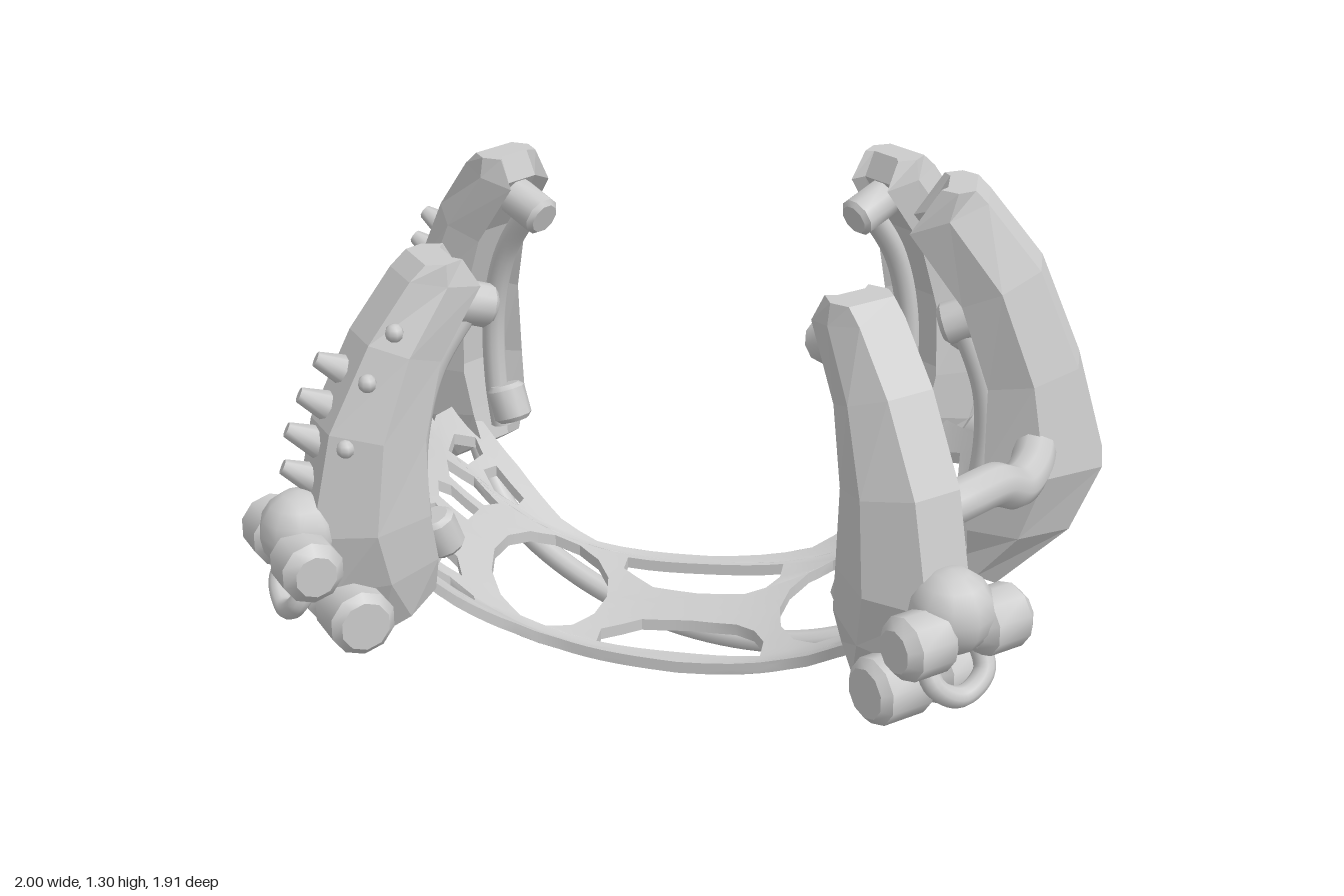
import * as THREE from 'three';
import { toCreasedNormals } from 'three/addons/utils/BufferGeometryUtils.js';

const flat = new THREE.MeshStandardMaterial({ color: 0xcccccc, flatShading: true, side: THREE.DoubleSide });
const smooth = new THREE.MeshStandardMaterial({ color: 0xcccccc, side: THREE.DoubleSide });
const V = (x, y, z = 0) => new THREE.Vector3(x, y, z);

function add(parent, name, geometry, material = smooth) {
  const mesh = new THREE.Mesh(geometry, material);
  mesh.name = name;
  parent.add(mesh);
  return mesh;
}

function tube(parent, name, points, radius) {
  const curve = new THREE.CatmullRomCurve3(points);
  return add(parent, name, new THREE.TubeGeometry(curve, points.length * 6, radius, 10));
}

// Chamfered drum along y
function drum(radius, length, bevel) {
  const h = length / 2;
  const profile = [[0, -h], [radius - bevel, -h], [radius, bevel - h], [radius, h - bevel], [radius - bevel, h], [0, h]];
  const g = new THREE.LatheGeometry(profile.map(p => new THREE.Vector2(...p)), 10);
  return toCreasedNormals(g, 0.7);
}

// Claw sections, top to bottom: outer [s, y], inner [s, y], half width
const smallClaw = [
  [0.12, 1.20, 0.03, 1.20, 0.08], [0.16, 1.165, -0.01, 1.13, 0.088], [0.265, 1.03, 0.10, 0.97, 0.11],
  [0.37, 0.83, 0.15, 0.79, 0.13], [0.425, 0.58, 0.15, 0.60, 0.14], [0.38, 0.43, 0.13, 0.48, 0.125],
  [0.27, 0.30, 0.13, 0.39, 0.09],
];
const bigClaw = [
  [0.14, 1.30, 0.06, 1.30, 0.09], [0.17, 1.27, -0.01, 1.19, 0.098], [0.30, 1.11, 0.12, 1.02, 0.12],
  [0.40, 0.87, 0.19, 0.82, 0.14], [0.47, 0.62, 0.19, 0.62, 0.16], [0.40, 0.45, 0.15, 0.45, 0.14],
  [0.23, 0.29, 0.13, 0.36, 0.10],
];

// Faceted shell with a narrow back, a side ridge and a grooved inner face
function clawGeometry(sections) {
  const pos = [], index = [], n = 8;
  for (const [os, oy, is, iy, b] of sections) {
    const at = (t, w) => [os + (is - os) * t, oy + (iy - oy) * t, w];
    const half = [[0, 0.062], [0.48, b], [1, b * 0.75], [0.82, b * 0.55]];
    for (const [t, w] of half) pos.push(...at(t, w));
    for (const [t, w] of [...half].reverse()) pos.push(...at(t, -w));
  }
  const last = (sections.length - 1) * n;
  for (let k = 0; k < last; k += n) {
    for (let j = 0; j < n; j++) {
      const a = k + j, b = k + (j + 1) % n;
      index.push(a, b, b + n, a, b + n, a + n);
    }
  }
  // End caps
  for (const start of [0, last]) {
    const [os, oy, is, iy] = sections[start / n];
    const c = pos.length / 3;
    pos.push((os + is) / 2, (oy + iy) / 2, 0);
    for (let j = 0; j < n; j++) {
      const a = start + j, b = start + (j + 1) % n;
      if (start === 0) index.push(c, b, a);
      else index.push(c, a, b);
    }
  }
  const g = new THREE.BufferGeometry();
  g.setAttribute('position', new THREE.Float32BufferAttribute(pos, 3));
  g.setIndex(index);
  g.computeVertexNormals();
  return g;
}

// Claw standing at (x, z), leaning outward along (dx, dz); local x is outward
function claw(name, x, z, dx, dz, sections, firstRib) {
  const g = new THREE.Group();
  g.name = name;
  g.position.set(x, 0, z);
  g.rotation.y = Math.atan2(-dz, dx);
  add(g, 'clawShell', clawGeometry(sections), flat);
  // Inner hose with a nozzle at the top and a fitting at the bottom
  const pts = sections.slice(firstRib, 6).map(s => V(s[2] - 0.01, s[3] - 0.05));
  tube(g, 'innerHose', pts, 0.03);
  const nozzle = add(g, 'hoseNozzle', drum(0.052, 0.12, 0.012));
  nozzle.position.copy(pts[0]).add(V(0.015, -0.01));
  nozzle.rotation.z = Math.PI / 2 + 0.35;
  const fitting = add(g, 'hoseFitting', drum(0.05, 0.1, 0.012));
  fitting.position.copy(pts.at(-1)).add(V(-0.03, 0.07));
  fitting.rotation.z = -0.35;
  return g;
}

// Cluster of drums at the base of a claw
function addPods(g) {
  add(g, 'podHub', new THREE.SphereGeometry(0.1, 10, 8)).position.set(0.43, 0.58, 0);
  for (const side of [-1, 1]) {
    const upper = add(g, 'upperPod', drum(0.075, 0.14, 0.025));
    upper.position.set(0.455, 0.54, side * 0.105);
    const lower = add(g, 'lowerPod', drum(0.08, 0.15, 0.02));
    lower.position.set(0.34, 0.38, side * 0.085);
    upper.rotation.x = lower.rotation.x = Math.PI / 2;
  }
  tube(g, 'podLoop', [V(0.42, 0.52, -0.07), V(0.47, 0.43, -0.07), V(0.48, 0.39, 0), V(0.47, 0.43, 0.07), V(0.42, 0.52, 0.07)], 0.025);
}

// Row of spikes down the back of a claw
function addSpikes(g, side) {
  for (const [s, y] of [[0.295, 0.96], [0.34, 0.88], [0.375, 0.8], [0.39, 0.71]]) {
    const spike = add(g, 'spike', new THREE.CylinderGeometry(0.018, 0.042, 0.09, 8));
    spike.position.set(s + 0.025, y, side * 0.025);
    spike.quaternion.setFromUnitVectors(V(0, 1), V(0.85, 0.45, side * 0.25).normalize());
  }
}

// Split long edges at their midpoints so a flat plate can bend smoothly
function subdivide(a, b, c, limit, out) {
  const d = [a.distanceTo(b), b.distanceTo(c), c.distanceTo(a)];
  const k = d.indexOf(Math.max(...d));
  if (d[k] < limit) {
    for (const p of [a, b, c]) out.push(p.x, p.y, p.z);
    return;
  }
  const [p, q, r] = [[a, b, c], [b, c, a], [c, a, b]][k];
  const mid = p.clone().add(q).multiplyScalar(0.5);
  subdivide(p, mid, r, limit, out);
  subdivide(mid, q, r, limit, out);
}

// Perforated cradle, cut flat and then bent upward at both ends
function cradleGeometry() {
  const edge = [[0.69, 0.2], [0.68, 0.38], [0.6, 0.53], [0.47, 0.48], [0.38, 0.36], [0.27, 0.31], [0, 0.295],
    [-0.3, 0.275], [-0.4, 0.3], [-0.53, 0.38], [-0.68, 0.44], [-0.73, 0.3]];
  const flip = pts => pts.map(([x, z]) => [x, -z]).reverse();
  const path = (pts, Type) => new Type(pts.map(p => new THREE.Vector2(...p)));
  const shape = path([[0.68, 0], ...edge, [-0.74, 0], ...flip(edge)], THREE.Shape);
  const holes = [];
  // Waist slots
  const slot = [[-0.21, 0.235], [0.2, 0.255], [0.2, 0.18], [0.17, 0.12], [0.12, 0.085], [0, 0.075], [-0.12, 0.09], [-0.21, 0.17]];
  holes.push(slot, flip(slot));
  // Large openings
  for (const cx of [-0.37, 0.365]) {
    holes.push(Array.from({ length: 14 }, (_, i) => {
      const a = i / 14 * Math.PI * 2;
      return [cx + 0.145 * Math.cos(a), 0.235 * Math.sin(a)];
    }));
  }
  // Lattice cells at the two ends
  const cells = [
    [[0.55, 0.04], [0.62, 0.025], [0.635, 0.09], [0.61, 0.13], [0.54, 0.14]],
    [[0.535, 0.18], [0.62, 0.165], [0.64, 0.23], [0.58, 0.28], [0.51, 0.25]],
    [[0.47, 0.31], [0.53, 0.3], [0.565, 0.34], [0.54, 0.39], [0.46, 0.35]],
    [[0.6, 0.31], [0.645, 0.28], [0.645, 0.36], [0.6, 0.42], [0.575, 0.39]],
    [[0.5, 0.42], [0.55, 0.42], [0.59, 0.46], [0.57, 0.49], [0.51, 0.46]],
  ];
  for (const cell of cells) holes.push(cell, flip(cell));
  for (const cell of cells.slice(0, 4)) {
    const pts = cell.map(([x, z]) => [-x - 0.04, z * 0.85]);
    holes.push(pts, flip(pts));
  }
  shape.holes = holes.map(h => path(h, THREE.Path));
  const plate = new THREE.ExtrudeGeometry(shape, { depth: 0.03, bevelEnabled: false });
  plate.rotateX(Math.PI / 2);
  const src = plate.attributes.position, out = [];
  for (let i = 0; i < src.count; i += 3) {
    const [a, b, c] = [0, 1, 2].map(k => new THREE.Vector3().fromBufferAttribute(src, i + k));
    subdivide(a, b, c, 0.07, out);
  }
  const g = new THREE.BufferGeometry();
  g.setAttribute('position', new THREE.Float32BufferAttribute(out, 3));
  const p = g.attributes.position;
  for (let i = 0; i < p.count; i++) {
    const x = p.getX(i), z = Math.abs(p.getZ(i));
    const rise = (x > 0 ? 0.37 : 0.33) * Math.pow(Math.abs(x) / 0.72, 2.8);
    p.setY(i, p.getY(i) + 0.135 + rise + 0.4 * Math.max(0, z - 0.26) * Math.min(1, Math.abs(x) / 0.4));
  }
  return toCreasedNormals(g, 0.6);
}

export function createModel() {
  const model = new THREE.Group();
  model.name = 'clawCradle';
  add(model, 'cradle', cradleGeometry());
  model.add(claw('largeSideClaw', 0.53, 0, 1, 0, bigClaw, 2));

  for (const f of [1, -1]) {
    const end = f > 0 ? 'front' : 'back';
    const left = claw(end + 'LeftClaw', 0.39, f * 0.465, 0.67, f * 0.74, smallClaw, 1);
    const right = claw(end + 'RightClaw', -0.48, f * 0.35, -0.82, f * 0.57, smallClaw, 1);
    addPods(left);
    addPods(right);
    addSpikes(right, f);
    model.add(left, right);
    // Studs on the front right claw only
    if (f > 0) {
      for (const [s, y] of [[0.21, 1.06], [0.28, 0.95], [0.34, 0.8]]) {
        add(right, 'stud', new THREE.SphereGeometry(0.022, 8, 6)).position.set(s, y, -0.085);
      }
    }
    // Thick hose from the large claw to its neighbour
    tube(model, 'thickHose', [V(0.84, 0.69, f * 0.08), V(0.83, 0.67, f * 0.2), V(0.8, 0.66, f * 0.29),
      V(0.75, 0.71, f * 0.4), V(0.69, 0.72, f * 0.5), V(0.63, 0.71, f * 0.56)], 0.052);
  }

  // Hoses between the two right claws
  for (const [x, y, r] of [[-0.83, 0.73, 0.035], [-0.78, 0.68, 0.035], [-0.8, 0.61, 0.025]]) {
    tube(model, 'rightHose', [V(x + 0.09, y + 0.01, -0.5), V(x + 0.05, y + 0.01, -0.36), V(x + 0.01, y - 0.04, -0.2),
      V(x, y - 0.05, 0), V(x + 0.01, y - 0.04, 0.2), V(x + 0.05, y + 0.01, 0.36), V(x + 0.09, y + 0.01, 0.5)], r);
  }

  // Hose running under the cradle
  tube(model, 'underHose', [V(0.74, 0.36, 0), V(0.68, 0.28, 0.01), V(0.55, 0.16, 0.01), V(0.3, 0.06, 0),
    V(0, 0.03, -0.08), V(-0.3, 0.08, -0.2), V(-0.55, 0.21, -0.34), V(-0.66, 0.38, -0.45)], 0.03);
  return model;
}
